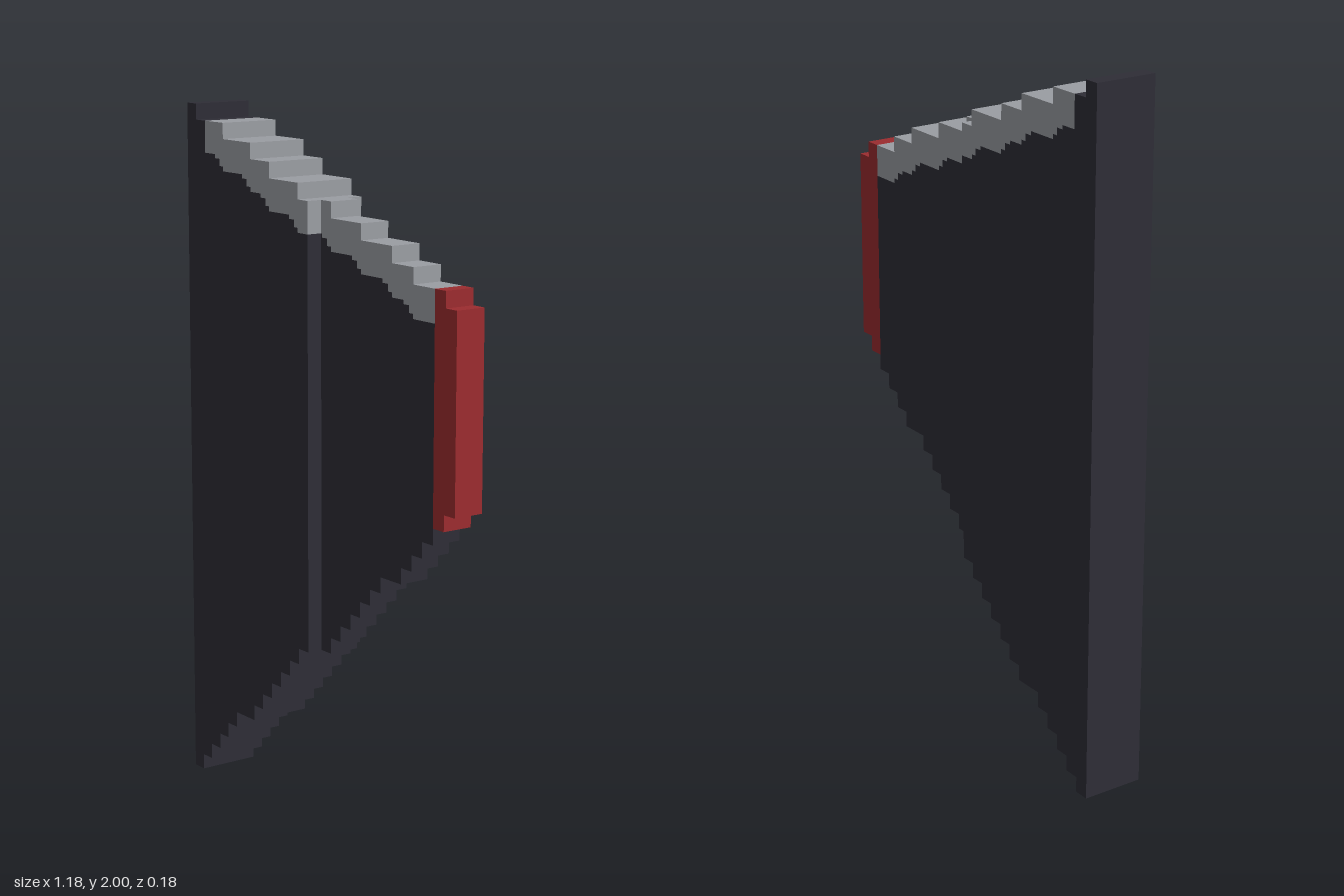
import * as THREE from 'three';

const U = 2 / 44; // one stair unit
const dark = new THREE.MeshStandardMaterial({ color: 0x2e2d36 });
dark.name = 'charcoal';
const grey = new THREE.MeshStandardMaterial({ color: 0x9b9ea3 });
grey.name = 'grey';
const red = new THREE.MeshStandardMaterial({ color: 0x9c2c2f });
red.name = 'red';

// Stair runs as [start column, height in units]
const TOP = [[0, 44], [1, 43], [4, 42], [7, 41], [9, 40], [12, 39], [14, 38], [17, 37], [20, 36], [22, 35], [25, 34]];
const BOTTOM = [0, 1, 2, 3, 4, 5, 5, 6, 7, 8, 9, 10, 11, 11, 12, 13, 14, 15, 16, 17, 17, 18, 19, 20, 21, 22]
  .map((h, i) => [i, h]);

// Lower edge of the grey band: two units down, with a small double nick before each drop
const SEAM = [];
TOP.slice(1, -1).forEach(([start, h], i) => {
  const end = TOP[i + 2][0];
  SEAM.push([start, h - 2]);
  if (end < 25) SEAM.push([end - 0.9, h - 2.25], [end - 0.4, h - 2.7]);
});

// Stair line points between columns a and b
function stairs(runs, a, b) {
  const pts = [];
  runs.forEach(([start, h], i) => {
    const end = i + 1 < runs.length ? runs[i + 1][0] : 26;
    const x0 = Math.max(a, start), x1 = Math.min(b, end);
    if (x1 > x0) pts.push([x0, h], [x1, h]);
  });
  return pts;
}

// Extruded panel between two stair lines
function panel(name, material, lower, upper, a, b, depth) {
  const outline = [...stairs(lower, a, b), ...stairs(upper, a, b).reverse()];
  const shape = new THREE.Shape(outline.map(([x, y]) => new THREE.Vector2((x - 13) * U, y * U)));
  const geometry = new THREE.ExtrudeGeometry(shape, { depth: depth * U, bevelEnabled: false });
  geometry.translate(0, 0, -depth * U / 2);
  const mesh = new THREE.Mesh(geometry, material);
  mesh.name = name;
  return mesh;
}

export function createModel() {
  const model = new THREE.Group();
  model.name = 'steppedFin';
  model.add(
    // Full-height root post and its neighbouring column
    panel('rootPost', dark, BOTTOM, TOP, 0, 2, 4),
    // Thick inner half
    panel('innerPanel', dark, BOTTOM, SEAM, 2, 13, 4),
    panel('innerTopBand', grey, SEAM, TOP, 2, 13, 4),
    // Thin outer half
    panel('outerPanel', dark, BOTTOM, SEAM, 13, 24, 2),
    panel('outerTopBand', grey, SEAM, TOP, 13, 24, 2),
    // Tip
    panel('tip', red, BOTTOM, TOP, 24, 26, 2),
  );
  return model;
}
